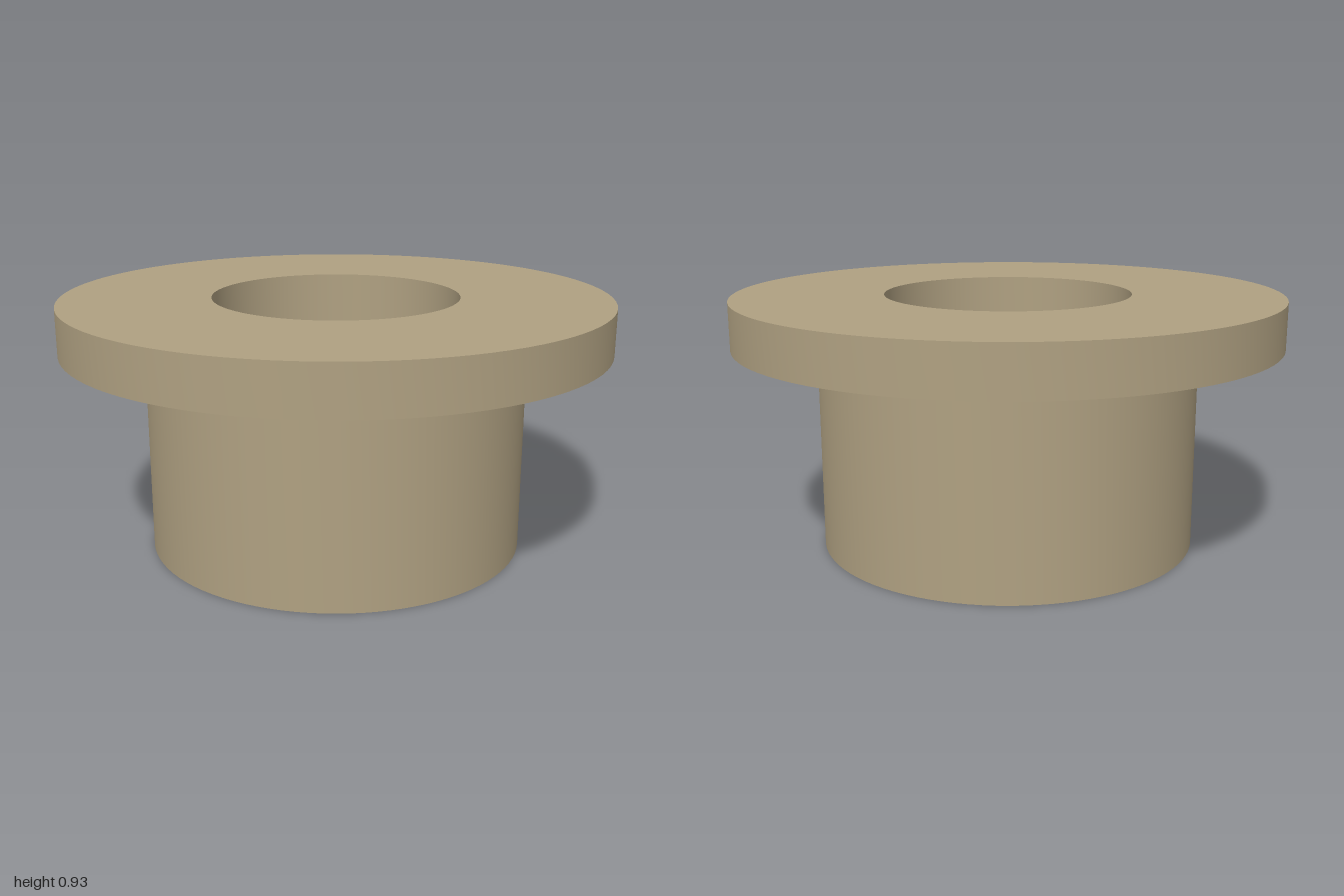
import * as THREE from 'three';
import { toCreasedNormals } from 'three/addons/utils/BufferGeometryUtils.js';

const BORE = 0.452, SLEEVE = 0.698, FLANGE = 1;
const STEP_Y = 0.757, TOP_Y = 0.928;

export function createModel() {
  const group = new THREE.Group();
  group.name = 'flangedBushing';

  const tan = new THREE.MeshStandardMaterial({ color: 0xb0a182 });
  tan.name = 'tan';

  // Closed cross-section: bottom ring, sleeve, flange, then back down the bore
  const profile = [
    [BORE, 0], [SLEEVE, 0], [SLEEVE, STEP_Y], [FLANGE, STEP_Y],
    [FLANGE, TOP_Y], [BORE, TOP_Y], [BORE, 0],
  ].map(([r, y]) => new THREE.Vector2(r, y));

  // Smooth round walls with crisp rims
  const geometry = toCreasedNormals(new THREE.LatheGeometry(profile, 96), Math.PI / 6);
  const bushing = new THREE.Mesh(geometry, tan);
  bushing.name = 'flangedSleeve';
  group.add(bushing);

  return group;
}
